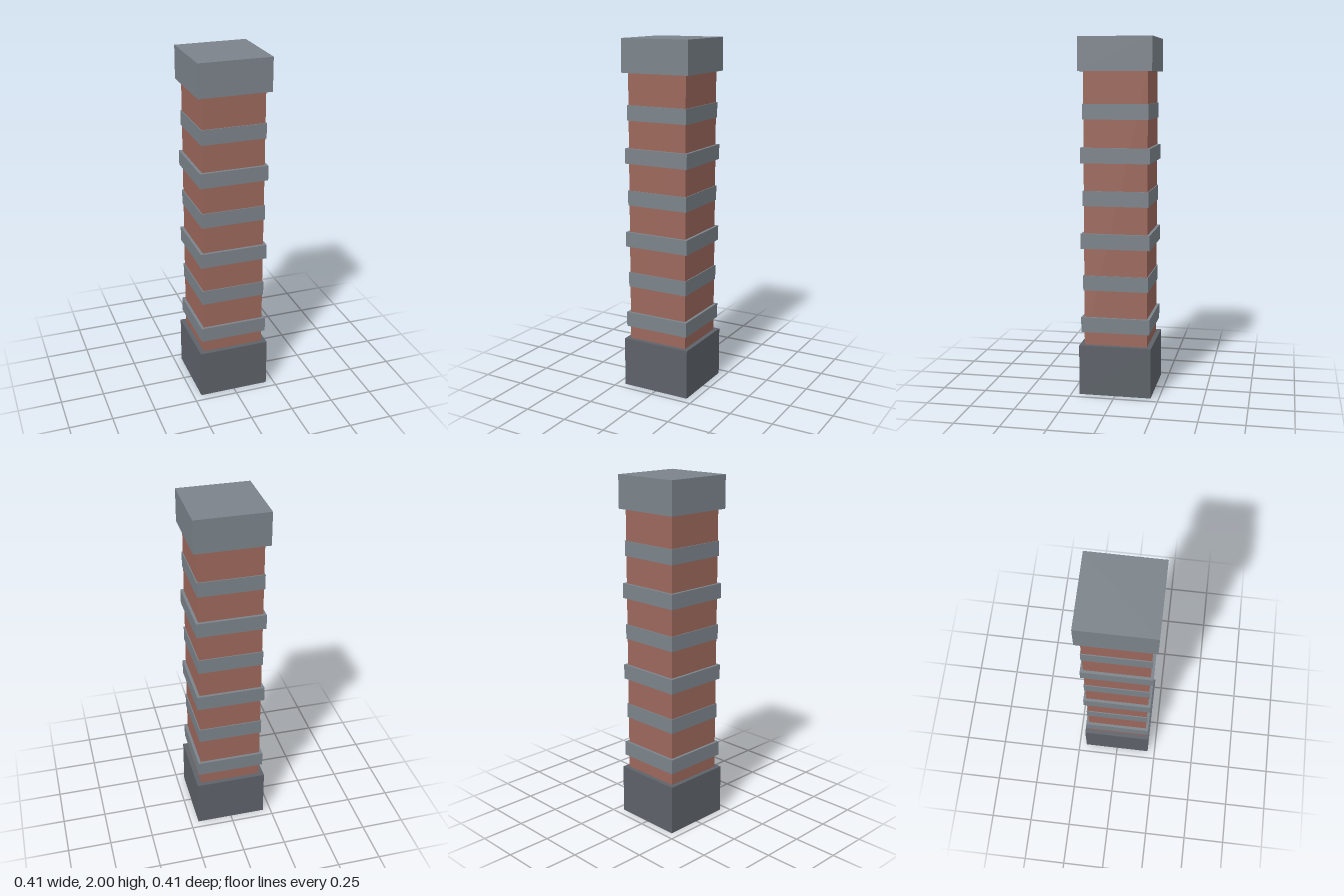
import * as THREE from 'three';

export function createModel() {
  const model = new THREE.Group();
  const brick = new THREE.MeshStandardMaterial({ color: 0x9c685c });
  const stone = new THREE.MeshStandardMaterial({ color: 0x7b838a });
  const darkStone = new THREE.MeshStandardMaterial({ color: 0x5d6269 });

  // Square block centred on the pillar's axis
  function block(name, width, bottom, top, material) {
    const mesh = new THREE.Mesh(new THREE.BoxGeometry(width, top - bottom, width), material);
    mesh.position.y = (bottom + top) / 2;
    mesh.name = name;
    model.add(mesh);
  }

  block('base', 0.409, 0, 0.286, darkStone);
  block('brickShaft', 0.356, 0.286, 1.815, brick);
  block('cap', 0.409, 1.815, 2, stone);

  // Stone bands, alternating wide and narrow
  for (let i = 0; i < 6; i++) {
    const wide = i % 2 === 0;
    const y = 0.405 + i * 0.2385;
    block(wide ? 'wideBand' : 'narrowBand', wide ? 0.388 : 0.367, y - 0.0425, y + 0.0425, stone);
  }

  return model;
}
